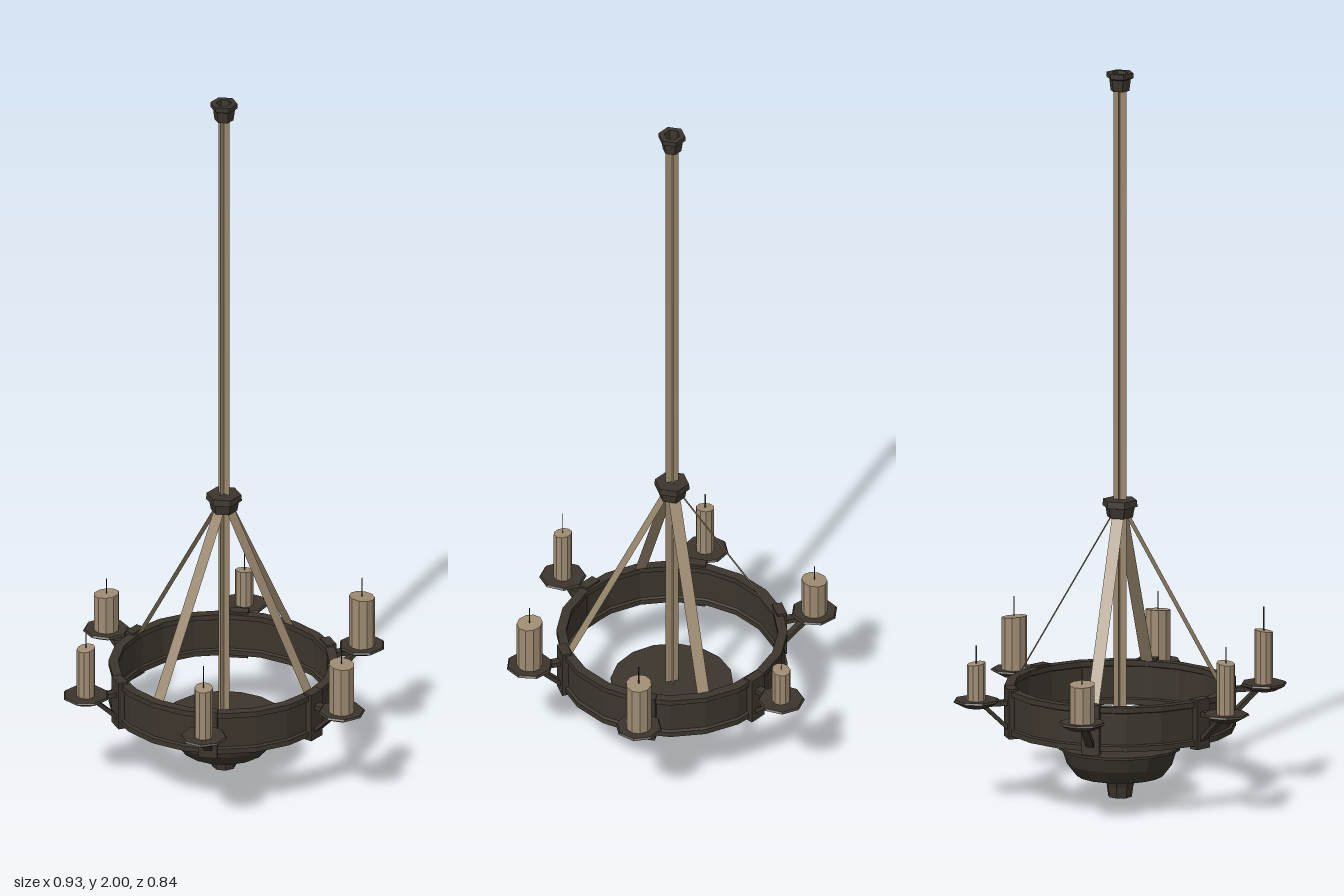
import * as THREE from 'three';

const iron = new THREE.MeshStandardMaterial({ name: 'darkIron', color: 0x3c352d, flatShading: true, side: THREE.DoubleSide });
const wood = new THREE.MeshStandardMaterial({ name: 'paleStrap', color: 0x9a876d, flatShading: true, side: THREE.DoubleSide });
const wax = new THREE.MeshStandardMaterial({ name: 'candleWax', color: 0x9f8c73, flatShading: true });

function add(parent, name, geometry, material, x = 0, y = 0, z = 0) {
  const mesh = new THREE.Mesh(geometry, material);
  mesh.name = name;
  mesh.position.set(x, y, z);
  parent.add(mesh);
  return mesh;
}

const lathe = (points, sides) =>
  new THREE.LatheGeometry(points.map(([r, y]) => new THREE.Vector2(r, y)), sides);

// Two upright planes crossing on the y axis
function crossedPlanes(parent, name, width, y0, y1, material, x = 0) {
  for (const turn of [0, Math.PI / 2]) {
    add(parent, name, new THREE.PlaneGeometry(width, y1 - y0), material, x, (y0 + y1) / 2).rotation.y = turn;
  }
}

// Bar in the xy plane between two points
function bar(parent, name, [x0, y0], [x1, y1], thickness, width) {
  const length = Math.hypot(x1 - x0, y1 - y0);
  const mesh = add(parent, name, new THREE.BoxGeometry(length, thickness, width), iron, (x0 + x1) / 2, (y0 + y1) / 2);
  mesh.rotation.z = Math.atan2(y1 - y0, x1 - x0);
}

// Candle with a slightly slanted top
function candleGeometry(radius, y0, y1, slant) {
  const g = new THREE.CylinderGeometry(radius, radius, y1 - y0, 10);
  g.translate(0, (y0 + y1) / 2, 0);
  const p = g.attributes.position;
  for (let i = 0; i < p.count; i++) {
    if (p.getY(i) > y0 + 0.01) p.setY(i, p.getY(i) - slant * (p.getX(i) / radius));
  }
  return g;
}

// Bracket, arm, saucer and candle, reaching out along +x
function createArm([radius, top, wickTop]) {
  const arm = new THREE.Group();
  arm.name = 'candleArm';
  add(arm, 'bracketPlate', new THREE.BoxGeometry(0.027, 0.138, 0.05), iron, 0.304, 0.249);
  bar(arm, 'armBar', [0.31, 0.277], [0.37, 0.277], 0.014, 0.022);
  bar(arm, 'armBrace', [0.312, 0.205], [0.382, 0.272], 0.011, 0.022);
  add(arm, 'saucer', lathe([[0, 0.268], [0.034, 0.27], [0.064, 0.286], [0.06, 0.291], [0, 0.287]], 8), iron, 0.402);
  add(arm, 'candle', candleGeometry(radius, 0.286, top, 0.004), wax, 0.402);
  crossedPlanes(arm, 'wick', 0.003, top - 0.005, wickTop, iron, 0.402);
  return arm;
}

export function createModel() {
  const model = new THREE.Group();
  model.name = 'chandelier';
  const body = new THREE.Group();
  body.name = 'chandelierBody';
  body.rotation.y = -0.054;
  model.add(body);

  // Hanging rod with ceiling cap and collar
  crossedPlanes(body, 'hangingRod', 0.037, 0.12, 1.97, wood);
  add(body, 'ceilingCap', lathe([[0.018, 1.95], [0.026, 1.95], [0.03, 1.982], [0.037, 1.986], [0.037, 2], [0.022, 2], [0.018, 1.96]], 6), iron);
  add(body, 'collar', lathe([[0.0, 0.772], [0.036, 0.772], [0.041, 0.8], [0.049, 0.802], [0.047, 0.82], [0, 0.82]], 6), iron);

  // Hoop with raised rims
  add(body, 'hoop', lathe([
    [0.286, 0.19], [0.312, 0.19], [0.312, 0.205], [0.304, 0.208], [0.304, 0.294], [0.312, 0.297],
    [0.312, 0.312], [0.286, 0.312], [0.286, 0.297], [0.293, 0.294], [0.293, 0.208], [0.286, 0.205], [0.286, 0.19],
  ], 20), iron);

  // Flat straps from the collar to the hoop
  const strapRun = new THREE.Vector2(0.272, -0.478);
  for (let i = 0; i < 4; i++) {
    const holder = new THREE.Group();
    holder.name = 'strapHolder';
    holder.rotation.y = i * Math.PI / 2;
    const geometry = new THREE.PlaneGeometry(strapRun.length(), 0.033).rotateX(-Math.PI / 2);
    const strap = add(holder, 'strap', geometry, wood, 0.156, 0.541);
    strap.rotation.z = strapRun.angle();
    body.add(holder);
  }

  // Bowl and finial under the hoop
  add(body, 'bowl', lathe([[0, 0.058], [0.118, 0.06], [0.145, 0.095], [0.157, 0.132], [0.166, 0.134], [0.166, 0.141], [0, 0.141]], 16), iron);
  add(body, 'finial', lathe([[0, 0], [0.033, 0], [0.037, 0.03], [0.046, 0.052], [0.046, 0.06]], 8), iron);

  // Candle radius, candle top and wick top for each arm
  const candles = [
    [0.035, 0.43, 0.48], [0.025, 0.434, 0.5], [0.025, 0.43, 0.475],
    [0.035, 0.395, 0.44], [0.025, 0.39, 0.44], [0.035, 0.434, 0.49],
  ];
  candles.forEach((sizes, i) => {
    const arm = createArm(sizes);
    arm.rotation.y = -i * Math.PI / 3;
    body.add(arm);
  });
  return model;
}
